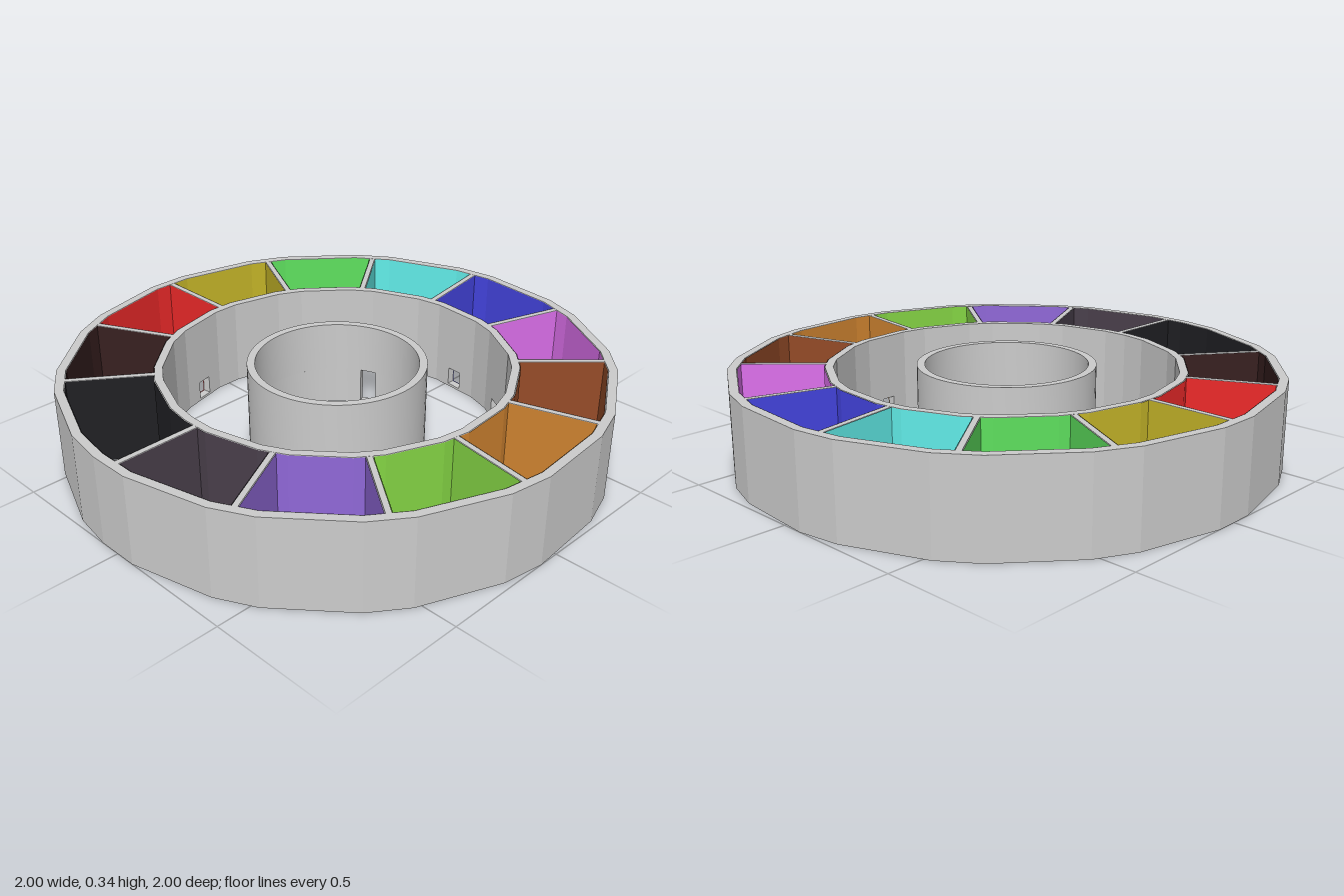
import * as THREE from 'three';
import { mergeGeometries, toCreasedNormals } from 'three/addons/utils/BufferGeometryUtils.js';

const RAD = Math.PI / 180;
const HEIGHT = 0.335;
const R_OUT = 1.003, R_OUT_IN = 0.97;   // outer wall
const R_MID = 0.657, R_MID_IN = 0.627;  // inner wall
const R_HUB = 0.327, R_HUB_IN = 0.298;  // central tube
const CELL_COLORS = [
  0x202024, 0x382020, 0xee2a2a, 0xc4b428, 0x5ee05e, 0x62eeea, 0x4444e0,
  0xdd70ec, 0x964c28, 0xd08430, 0x84d444, 0x9068d8, 0x4a404c,
];
// Thirteen cells, 27 degrees apart; the first is wider by 9 degrees
const centers = CELL_COLORS.map((_, i) => 112.5 + 27 * i);
const corners = [94.5, ...centers.flatMap((c) => [c - 9, c + 9]), 454.5];

const polar = (r, deg) => new THREE.Vector2(r * Math.cos(deg * RAD), r * Math.sin(deg * RAD));

// Point on the faceted outline whose corners lie on radius R
function facetPoint(R, deg) {
  const d = 94.5 + ((((deg - 94.5) % 360) + 360) % 360);
  let k = 0;
  while (k < corners.length - 2 && corners[k + 1] <= d) k++;
  const half = (corners[k + 1] - corners[k]) / 2;
  const r = (R * Math.cos(half * RAD)) / Math.cos((d - corners[k] - half) * RAD);
  return polar(r, deg);
}

// Faceted arc from angle a to b
function facetArc(R, a, b) {
  const between = [-360, 0, 360]
    .flatMap((o) => corners.slice(0, -1).map((c) => c + o))
    .filter((c) => c > a + 0.01 && c < b - 0.01);
  return [a, ...between, b].map((d) => facetPoint(R, d));
}

// Round arc from angle a to b
function roundArc(R, a, b) {
  const n = Math.max(2, Math.ceil((b - a) / 5));
  return Array.from({ length: n + 1 }, (_, i) => polar(R, a + ((b - a) * i) / n));
}

// Upright wall between two outlines, from y0 to y1
function band(arc, rOut, rIn, a, b, y0, y1) {
  const outer = arc(rOut, a, b), inner = arc(rIn, a, b);
  let shape;
  if (b - a > 359.9) {
    shape = new THREE.Shape(outer.slice(0, -1));
    shape.holes.push(new THREE.Path(inner.slice(0, -1)));
  } else {
    shape = new THREE.Shape([...outer, ...inner.reverse()]);
  }
  const geo = new THREE.ExtrudeGeometry(shape, { depth: y1 - y0, bevelEnabled: false });
  return geo.rotateX(Math.PI / 2).translate(0, y1, 0);
}

// Ring wall with windows (angle, half width) between heights sill and head
function windowedWall(arc, rOut, rIn, angles, half, sill, head) {
  const first = angles[0] + half;
  const parts = [
    band(arc, rOut, rIn, 94.5, 454.5, 0, sill),
    band(arc, rOut, rIn, 94.5, 454.5, head, HEIGHT),
  ];
  angles.forEach((c, i) => {
    const next = i + 1 < angles.length ? angles[i + 1] : first - half + 360;
    parts.push(band(arc, rOut, rIn, c + half, next - half, sill, head));
  });
  return mergeGeometries(parts);
}

// Thin upright sheet following a path
function sheet(points, y0, y1) {
  const pos = [];
  for (let i = 0; i + 1 < points.length; i++) {
    const p = points[i], q = points[i + 1];
    pos.push(p.x, y0, p.y, q.x, y0, q.y, q.x, y1, q.y);
    pos.push(p.x, y0, p.y, q.x, y1, q.y, p.x, y1, p.y);
  }
  const geo = new THREE.BufferGeometry();
  geo.setAttribute('position', new THREE.Float32BufferAttribute(pos, 3));
  geo.computeVertexNormals();
  return geo;
}

export function createModel() {
  const group = new THREE.Group();
  const grey = new THREE.MeshStandardMaterial({ color: 0xcccccc });
  const add = (name, geo, mat = grey) => {
    const mesh = new THREE.Mesh(geo, mat);
    mesh.name = name;
    group.add(mesh);
    return mesh;
  };

  // Ring walls
  add('outerWall', band(facetArc, R_OUT, R_OUT_IN, 94.5, 454.5, 0, HEIGHT));
  const sill = 0.01, head = 0.08, half = 2.8;
  add('innerWall', windowedWall(facetArc, R_MID, R_MID_IN, centers, half, sill, head));

  // Central tube with one opening at its foot
  const hub = windowedWall(roundArc, R_HUB, R_HUB_IN, [249], 6, sill, 0.145);
  add('centralTube', toCreasedNormals(hub, 0.5));

  // Dividers between the cells
  const thick = 0.02, r0 = R_MID - 0.012, r1 = R_OUT_IN + 0.01;
  centers.forEach((c) => {
    const geo = new THREE.BoxGeometry(r1 - r0, HEIGHT - 0.001, thick);
    geo.translate((r0 + r1) / 2, HEIGHT / 2, 0);
    add('divider', geo).rotation.y = -(c + 13.5) * RAD;
  });

  // Coloured lining of each cell, open at top and bottom
  const gap = 0.003, ri = R_MID + gap, ro = R_OUT_IN - gap, h = thick / 2 + gap;
  const inset = (r) => Math.asin(h / r) / RAD;
  centers.forEach((c, i) => {
    const start = i === 0 ? 90 : c - 13.5, end = c + 13.5;
    const path = [
      ...facetArc(ri, c + half, end - inset(ri)),
      ...facetArc(ro, start + inset(ro), end - inset(ro)).reverse(),
      ...facetArc(ri, start + inset(ri), c - half),
    ];
    const window = facetArc(ri, c - half, c + half);
    const geo = mergeGeometries([
      sheet(path, 0.001, HEIGHT - 0.001),
      sheet(window, 0.001, sill),
      sheet(window, head, HEIGHT - 0.001),
    ]);
    const mat = new THREE.MeshStandardMaterial({ color: CELL_COLORS[i], side: THREE.DoubleSide });
    add('cellLining', geo, mat);
  });

  return group;
}
